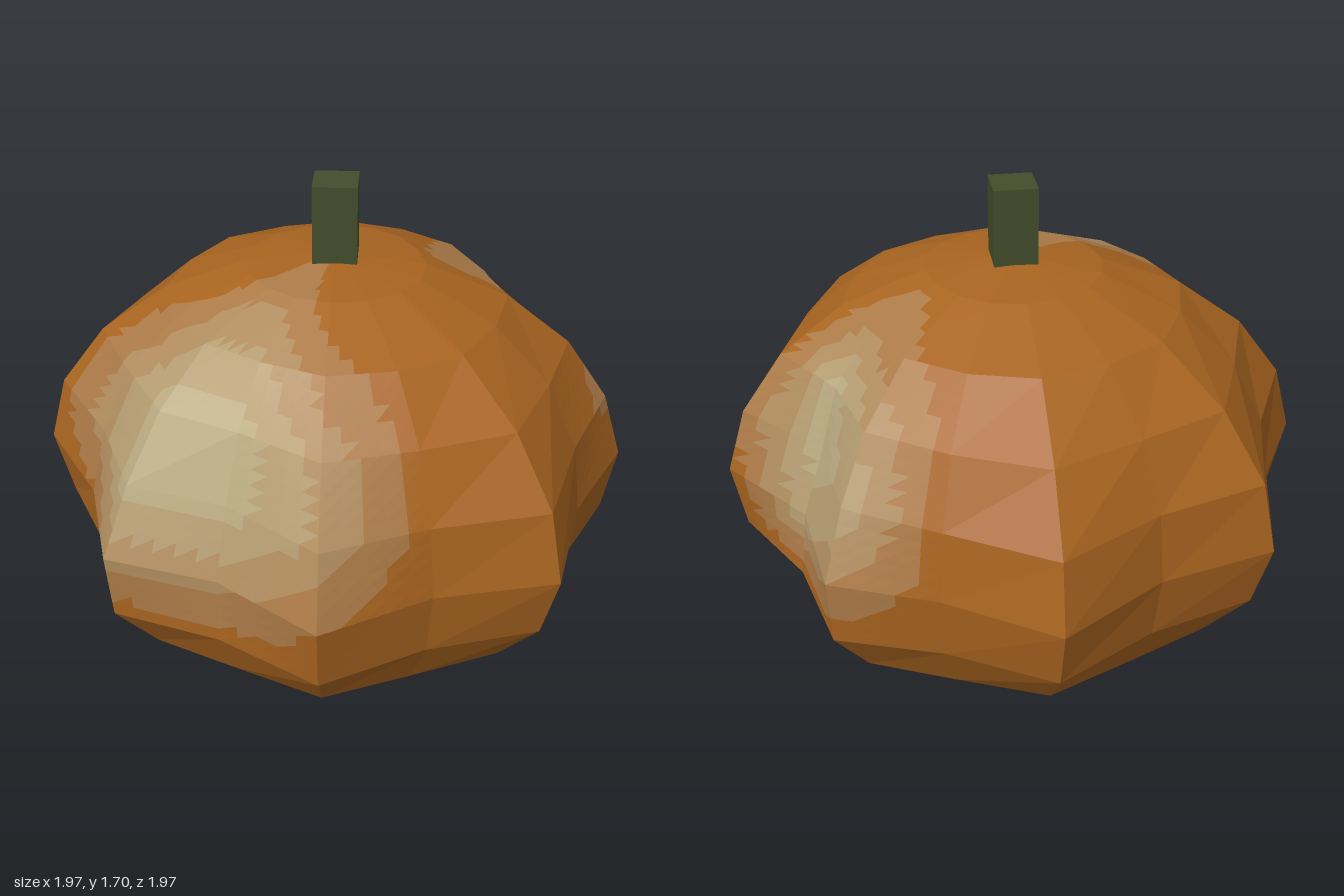
import * as THREE from 'three';

const COLUMNS = 16, RINGS = 10, HALF_HEIGHT = 0.73;
const BODY = new THREE.Color(0xa86420), PALE = new THREE.Color(0xb8aa80);
const SHADES = 5, TILES = 5;

// Pale, slightly sunken patches: angle from +x towards +z, height, spread and depth
const patches = [
  { angle: 123, y: 1.05, spread: 28, rise: 0.25, depth: 0.13 },
  { angle: -28, y: 0.98, spread: 17, rise: 0.25, depth: 0.17 },
];

const patchWeight = (p, deg, y) => {
  const turn = ((deg - p.angle + 540) % 360) - 180;
  return Math.exp(-0.5 * ((turn / p.spread) ** 2 + ((y - p.y) / p.rise) ** 2));
};

// One corner of the ribbed shell, with the strength of the pale tint there
function corner(ring, column) {
  const s = Math.sin((Math.PI * ring) / RINGS);
  const y = HALF_HEIGHT * (1 - Math.cos((Math.PI * ring) / RINGS));
  const deg = ((column % COLUMNS) * 360) / COLUMNS;
  const rib = column % 2 === 0 ? 0.06 : -0.075;
  let r = s * (0.94 + rib * s * s * s);
  let tint = 0;
  for (const p of patches) {
    const w = patchWeight(p, deg, y);
    r *= 1 - p.depth * w;
    tint = Math.max(tint, w);
  }
  const a = THREE.MathUtils.degToRad(deg);
  return {
    pos: new THREE.Vector3(r * Math.cos(a), y, r * Math.sin(a)),
    tint: THREE.MathUtils.clamp(tint * 1.9 - 0.3, 0, 1),
  };
}

const mix = (a, b, t) => ({
  pos: a.pos.clone().lerp(b.pos, t),
  tint: a.tint + (b.tint - a.tint) * t,
});

function createShell() {
  const buckets = Array.from({ length: SHADES }, () => []);
  const addTriangle = (a, b, c) => {
    const area = new THREE.Triangle(a.pos, b.pos, c.pos).getArea();
    if (area < 1e-7) return;
    const shade = Math.round(((a.tint + b.tint + c.tint) / 3) * (SHADES - 1));
    for (const v of [a, b, c]) buckets[shade].push(...v.pos.toArray());
  };

  for (let j = 0; j < RINGS; j++) {
    for (let i = 0; i < COLUMNS; i++) {
      const a = corner(j, i), b = corner(j + 1, i);
      const c = corner(j, i + 1), d = corner(j + 1, i + 1);
      // Facets with a changing tint are tiled so the colour fades out
      const tints = [a, b, c, d].map((v) => v.tint);
      const n = Math.max(...tints) - Math.min(...tints) > 0.1 ? TILES : 1;
      const at = (u, v) => mix(mix(a, c, u / n), mix(b, d, u / n), v / n);
      for (let v = 0; v < n; v++) {
        for (let u = 0; u < n; u++) {
          addTriangle(at(u, v), at(u, v + 1), at(u + 1, v));
          addTriangle(at(u + 1, v), at(u, v + 1), at(u + 1, v + 1));
        }
      }
    }
  }

  const shell = new THREE.Group();
  shell.name = 'pumpkinShell';
  buckets.forEach((points, k) => {
    if (!points.length) return;
    const geometry = new THREE.BufferGeometry();
    geometry.setAttribute('position', new THREE.Float32BufferAttribute(points, 3));
    geometry.computeVertexNormals();
    const color = BODY.clone().lerp(PALE, k / (SHADES - 1));
    const mesh = new THREE.Mesh(geometry, new THREE.MeshStandardMaterial({ color, flatShading: true }));
    mesh.name = k === 0 ? 'shellSkin' : `palePatchShade${k}`;
    shell.add(mesh);
  });
  return shell;
}

export function createModel() {
  const model = new THREE.Group();
  model.name = 'pumpkin';
  model.add(createShell());

  // Square stalk sunk a little into the crown
  const stem = new THREE.Mesh(
    new THREE.BoxGeometry(0.14, 0.3, 0.14),
    new THREE.MeshStandardMaterial({ color: 0x434d2b, flatShading: true })
  );
  stem.name = 'stem';
  stem.position.y = 1.55;
  model.add(stem);
  return model;
}
